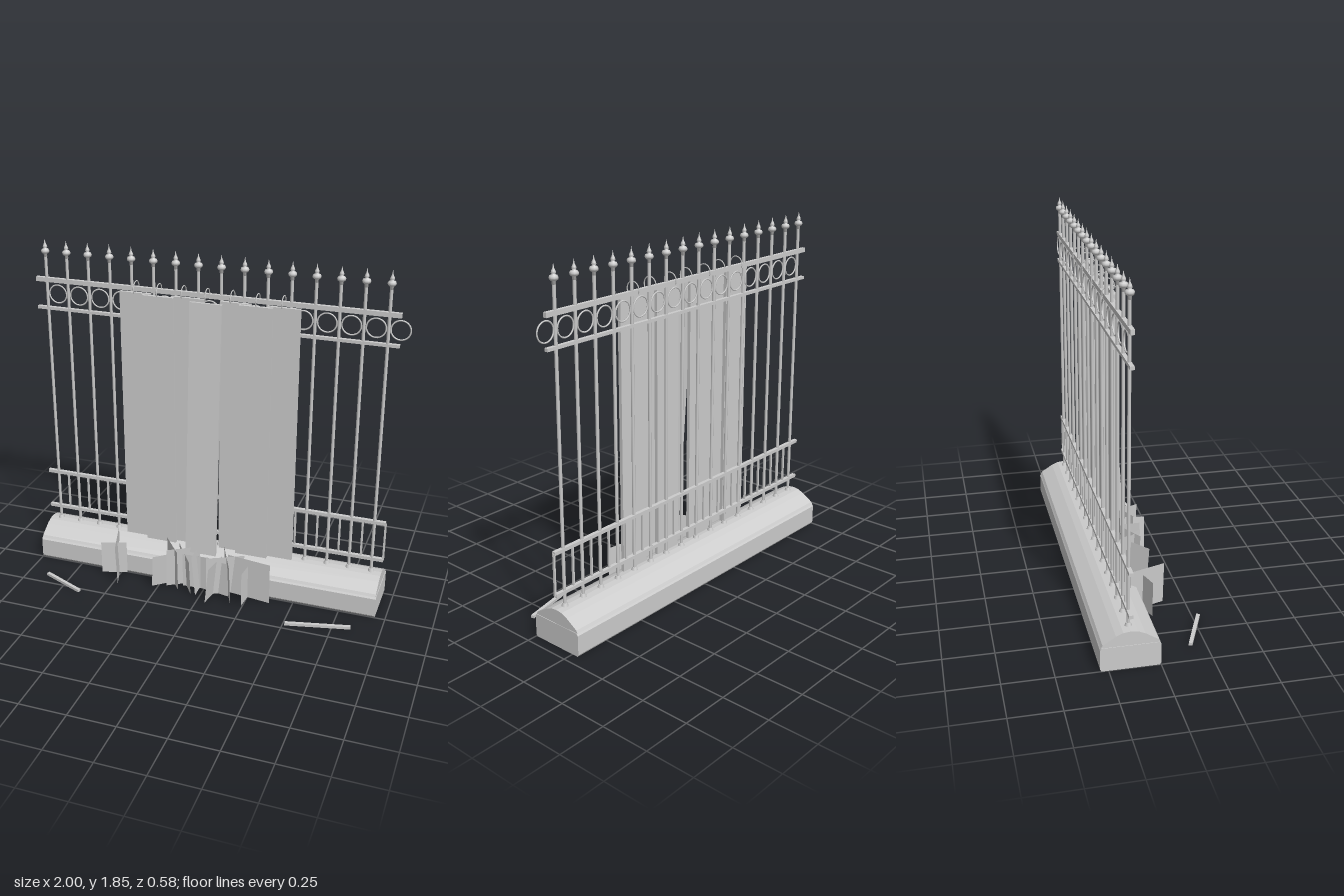
import * as THREE from 'three';

export function createModel() {
  const root = new THREE.Group();
  const grey = new THREE.MeshStandardMaterial({ color: 0xcccccc, side: THREE.DoubleSide });
  grey.name = 'light grey';

  const group = (name) => {
    const g = new THREE.Group();
    g.name = name;
    root.add(g);
    return g;
  };
  const add = (parent, name, geo, x = 0, y = 0, z = 0) => {
    const m = new THREE.Mesh(geo, grey);
    m.name = name;
    m.position.set(x, y, z);
    parent.add(m);
    return m;
  };

  const X0 = -1, X1 = 0.945, LEN = X1 - X0, MID = (X0 + X1) / 2, Z = -0.145;

  // Stone base: cross-sections given as [depth behind the front face, height]
  const base = group('stoneBase');
  const prism = (pts, inset) => {
    const shape = new THREE.Shape(pts.map(([u, y]) => new THREE.Vector2(u, y)));
    const geo = new THREE.ExtrudeGeometry(shape, { depth: LEN - inset * 2, bevelEnabled: false });
    geo.rotateY(Math.PI / 2);
    geo.translate(X0 + inset, 0, 0);
    return geo;
  };
  add(base, 'plinth', prism([[0.006, 0], [0.284, 0], [0.29, 0.01], [0.29, 0.112], [0.282, 0.123],
    [0.008, 0.123], [0, 0.112], [0, 0.01]], 0));
  add(base, 'archedCap', prism([[0.004, 0.123], [0.286, 0.123], [0.278, 0.137], [0.215, 0.177],
    [0.18, 0.192], [0.145, 0.196], [0.11, 0.192], [0.075, 0.177], [0.012, 0.137]], 0.003));

  // Horizontal rails
  const rails = group('rails');
  for (const [y, h] of [[1.628, 0.024], [1.472, 0.016], [0.492, 0.018], [0.272, 0.018]])
    add(rails, 'rail', new THREE.BoxGeometry(LEN, h, 0.02), MID, y, Z);

  // Posts with feet and spear finials, rings and short balusters between them
  const posts = group('posts'), rings = group('rings'), balusters = group('balusters');
  const postGeo = new THREE.CylinderGeometry(0.0085, 0.0085, 1.57, 8);
  const footGeo = new THREE.CylinderGeometry(0.012, 0.018, 0.018, 10);
  const finialGeo = new THREE.LatheGeometry([[0, 1.75], [0.009, 1.752], [0.009, 1.766], [0.02, 1.774],
    [0.022, 1.783], [0.018, 1.792], [0.007, 1.797], [0.012, 1.803], [0.01, 1.812], [0.004, 1.825],
    [0, 1.848]].map(([r, y]) => new THREE.Vector2(r, y)), 10);
  const ringGeo = new THREE.TorusGeometry(0.049, 0.004, 6, 28);
  const balusterGeo = new THREE.BoxGeometry(0.01, 0.22, 0.01);
  for (let i = 0; i < 16; i++) {
    const x = -0.94 + i * 0.1217;
    add(posts, 'post', postGeo, x, 0.975, Z);
    add(posts, 'postFoot', footGeo, x, 0.202, Z);
    add(posts, 'spearFinial', finialGeo, x, 0, Z);
    const between = Math.min(x + 0.061, X1);
    add(rings, 'ring', ringGeo, between, 1.553, Z);
    add(balusters, 'baluster', balusterGeo, between, 0.382, Z);
  }

  // Boards in two overlapping layers: [left edge, right edge, depth]
  const boards = group('boards');
  const rows = [[-0.508, -0.338, -0.116], [-0.225, -0.05, -0.116], [0.04, 0.2, -0.116],
    [0.285, 0.455, -0.116], [-0.374, -0.203, -0.088], [0.144, 0.32, -0.088]];
  for (const [a, b, z] of rows)
    add(boards, 'board', new THREE.BoxGeometry(b - a, 1.42, 0.018), (a + b) / 2, 0.907, z);
  const lean = add(boards, 'leaningBoard', new THREE.BoxGeometry(0.172, 1.4, 0.018), -0.026, 0.91, -0.037);
  lean.rotation.x = -0.062;

  // Wire loops hanging the boards on the top rail
  const loops = group('wireLoops');
  const loopGeo = new THREE.TorusGeometry(0.038, 0.003, 5, 20, Math.PI * 1.3);
  loopGeo.rotateZ(-Math.PI * 0.15);
  loopGeo.rotateY(Math.PI / 2);
  [-0.42, -0.29, -0.16, -0.03, 0.1, 0.235, 0.365].forEach((x, i) =>
    add(loops, 'wireLoop', loopGeo, x, 1.637, i % 2 ? -0.112 : -0.122));

  // Upright cards: [x1, z1, x2, z2, height, sideways lean of the top]
  const cards = group('grassCards');
  const card = ([x1, z1, x2, z2, h, lean]) => {
    const geo = new THREE.PlaneGeometry(1, 1);
    const p = geo.attributes.position;
    const len = Math.hypot(x2 - x1, z2 - z1);
    const nx = -(z2 - z1) / len, nz = (x2 - x1) / len;
    for (let i = 0; i < p.count; i++) {
      const t = p.getX(i) + 0.5, v = p.getY(i) + 0.5;
      p.setXYZ(i, x1 + (x2 - x1) * t + nx * lean * v, 0.005 + h * v, z1 + (z2 - z1) * t + nz * lean * v);
    }
    geo.computeVertexNormals();
    add(cards, 'grassCard', geo);
  };
  [
    [-0.6, 0.055, -0.465, 0.01, 0.19, 0],
    [-0.54, -0.08, -0.47, 0.14, 0.225, 0.008],
    [-0.28, 0.1, -0.14, -0.015, 0.195, 0.022],
    [-0.205, 0.07, -0.06, -0.02, 0.235, 0.018],
    [-0.24, -0.05, -0.13, 0.09, 0.235, 0.004],
    [-0.17, -0.07, -0.05, 0.11, 0.2, 0.008],
    [-0.025, -0.02, -0.022, 0.115, 0.235, 0.02],
    [0.075, 0, 0.05, 0.165, 0.21, -0.022],
    [0.095, -0.065, 0.19, 0.145, 0.235, 0.01],
    [0.03, 0.085, 0.215, -0.01, 0.235, 0.015],
    [-0.035, 0.03, 0.15, 0.065, 0.2, 0],
    [0.135, 0.02, 0.38, 0.055, 0.235, 0],
    [0.255, 0.02, 0.245, 0.13, 0.195, 0],
    [-0.12, 0.04, 0.03, 0.03, 0.2, 0],
  ].forEach(card);

  // Loose sticks lying on the ground
  const sticks = group('looseSticks');
  for (const [x1, z1, x2, z2] of [[-0.88, 0.175, -0.64, 0.28], [0.51, 0.215, 0.845, 0.14]]) {
    const geo = new THREE.BoxGeometry(Math.hypot(x2 - x1, z2 - z1), 0.015, 0.018);
    add(sticks, 'stick', geo, (x1 + x2) / 2, 0.0075, (z1 + z2) / 2).rotation.y = -Math.atan2(z2 - z1, x2 - x1);
  }
  return root;
}
